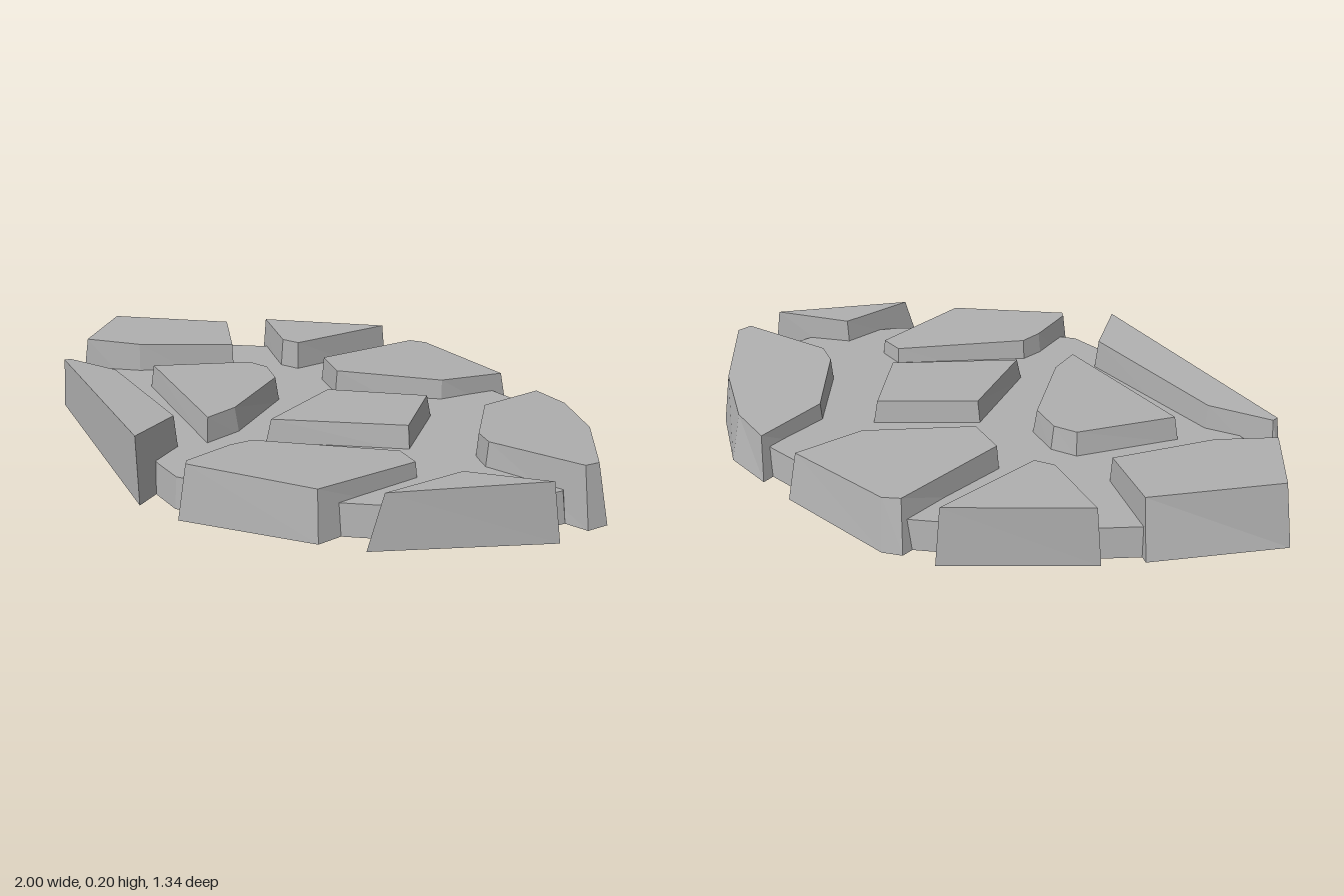
import * as THREE from 'three';

// Frustum stone: each corner is [footX, footZ, topX, topZ]; top plane y = a + b*x + c*z
function stoneGeometry(corners, [a, b, c], footY = 0) {
  const foot = corners.map(p => [p[0], footY, p[1]]);
  const top = corners.map(p => [p[2], a + b * p[2] + c * p[3], p[3]]);
  const n = corners.length, pos = [];
  const tri = (p, q, r) => pos.push(...p, ...q, ...r);
  for (let i = 0; i < n; i++) {
    const j = (i + 1) % n;
    tri(foot[i], top[j], foot[j]);
    tri(foot[i], top[i], top[j]);
    if (i > 0 && i < n - 1) {
      tri(top[0], top[j], top[i]);
      tri(foot[0], foot[i], foot[j]);
    }
  }
  const g = new THREE.BufferGeometry();
  g.setAttribute('position', new THREE.Float32BufferAttribute(pos, 3));
  g.computeVertexNormals();
  return g;
}

// Corners run clockwise as seen from above (x right, z down)
const STONES = {
  leftmostStone: { plane: [0.151, -0.05, 0], corners: [
    [-1, -0.04, -0.968, -0.035], [-0.695, -0.32, -0.665, -0.288], [-0.475, -0.14, -0.487, -0.143],
    [-0.685, 0.105, -0.695, 0.092], [-0.87, 0.21, -0.85, 0.19]] },
  longFrontStone: { plane: [0.173, 0.022, 0.043], corners: [
    [-0.82, 0.325, -0.79, 0.335], [-0.80, 0.305, -0.785, 0.315], [-0.58, 0.275, -0.585, 0.287],
    [-0.09, 0.452, -0.11, 0.458], [-0.03, 0.665, -0.055, 0.65]] },
  frontStone: { plane: [0.156, -0.03, 0.02], corners: [
    [0.10, 0.45, 0.117, 0.45], [0.12, 0.37, 0.135, 0.38], [0.465, 0.11, 0.47, 0.127],
    [0.56, 0.145, 0.548, 0.155], [0.50, 0.50, 0.483, 0.485], [0.12, 0.655, 0.13, 0.63],
    [0.10, 0.625, 0.115, 0.612]] },
  smallWedgeStone: { plane: [0.132, 0.05, 0], corners: [
    [0.62, 0.445, 0.645, 0.405], [0.70, 0.155, 0.715, 0.163], [0.965, 0.06, 0.945, 0.075]] },
  rightBackStone: { plane: [0.146, 0.04, 0.045], corners: [
    [0.455, -0.58, 0.475, -0.55], [0.62, -0.535, 0.61, -0.50], [0.81, -0.365, 0.79, -0.35],
    [1, -0.12, 0.965, -0.11], [0.98, -0.055, 0.95, -0.065], [0.645, -0.03, 0.65, -0.045],
    [0.575, -0.08, 0.585, -0.087], [0.433, -0.31, 0.443, -0.315]] },
  backStone: { plane: [0.172, -0.03, 0.02], corners: [
    [-0.118, -0.655, -0.095, -0.622], [-0.06, -0.675, -0.045, -0.645], [0.33, -0.61, 0.315, -0.583],
    [0.235, -0.375, 0.225, -0.385], [-0.06, -0.185, -0.057, -0.198], [-0.185, -0.255, -0.173, -0.262]] },
  leftBackStone: { plane: [0.185, 0, 0], corners: [
    [-0.60, -0.40, -0.583, -0.403], [-0.22, -0.645, -0.228, -0.63], [-0.305, -0.275, -0.315, -0.288],
    [-0.38, -0.263, -0.377, -0.278]] },
  leftCentreStone: { footY: 0.085, plane: [0.17, 0, 0], corners: [
    [-0.545, 0.175, -0.53, 0.172], [-0.335, -0.077, -0.327, -0.066], [-0.25, -0.085, -0.252, -0.072],
    [-0.15, -0.025, -0.16, -0.017], [-0.052, 0.25, -0.065, 0.255], [-0.055, 0.38, -0.065, 0.365]] },
  rightCentreStone: { footY: 0.085, plane: [0.165, 0, 0], corners: [
    [0.015, -0.065, 0.027, -0.06], [0.293, -0.245, 0.287, -0.228], [0.412, 0.01, 0.4, 0.003],
    [0.065, 0.257, 0.073, 0.24]] },
};

// Footprint of the low slab showing between the stones
const SLAB = [[-0.92, -0.05], [-0.68, -0.30], [-0.55, -0.395], [-0.25, -0.56], [-0.10, -0.63],
  [0.30, -0.565], [0.46, -0.54], [0.60, -0.50], [0.78, -0.34], [0.91, -0.05], [0.84, 0.14],
  [0.64, 0.335], [0.49, 0.44], [0.11, 0.595], [0.06, 0.612], [-0.05, 0.585], [-0.66, 0.325],
  [-0.76, 0.27], [-0.84, 0.14]];

export function createModel() {
  const group = new THREE.Group();
  const stone = new THREE.MeshStandardMaterial({ color: 0xb0b0b0 });
  stone.name = 'grey stone';

  const add = (name, geometry) => {
    const mesh = new THREE.Mesh(geometry, stone);
    mesh.name = name;
    group.add(mesh);
  };

  // base slab, tapering slightly
  add('baseSlab', stoneGeometry(SLAB.map(([x, z]) => [x, z, x * 0.985, z * 0.985]), [0.095, 0, 0]));

  // paving stones with tilted tops
  for (const [name, s] of Object.entries(STONES)) add(name, stoneGeometry(s.corners, s.plane, s.footY));
  return group;
}
